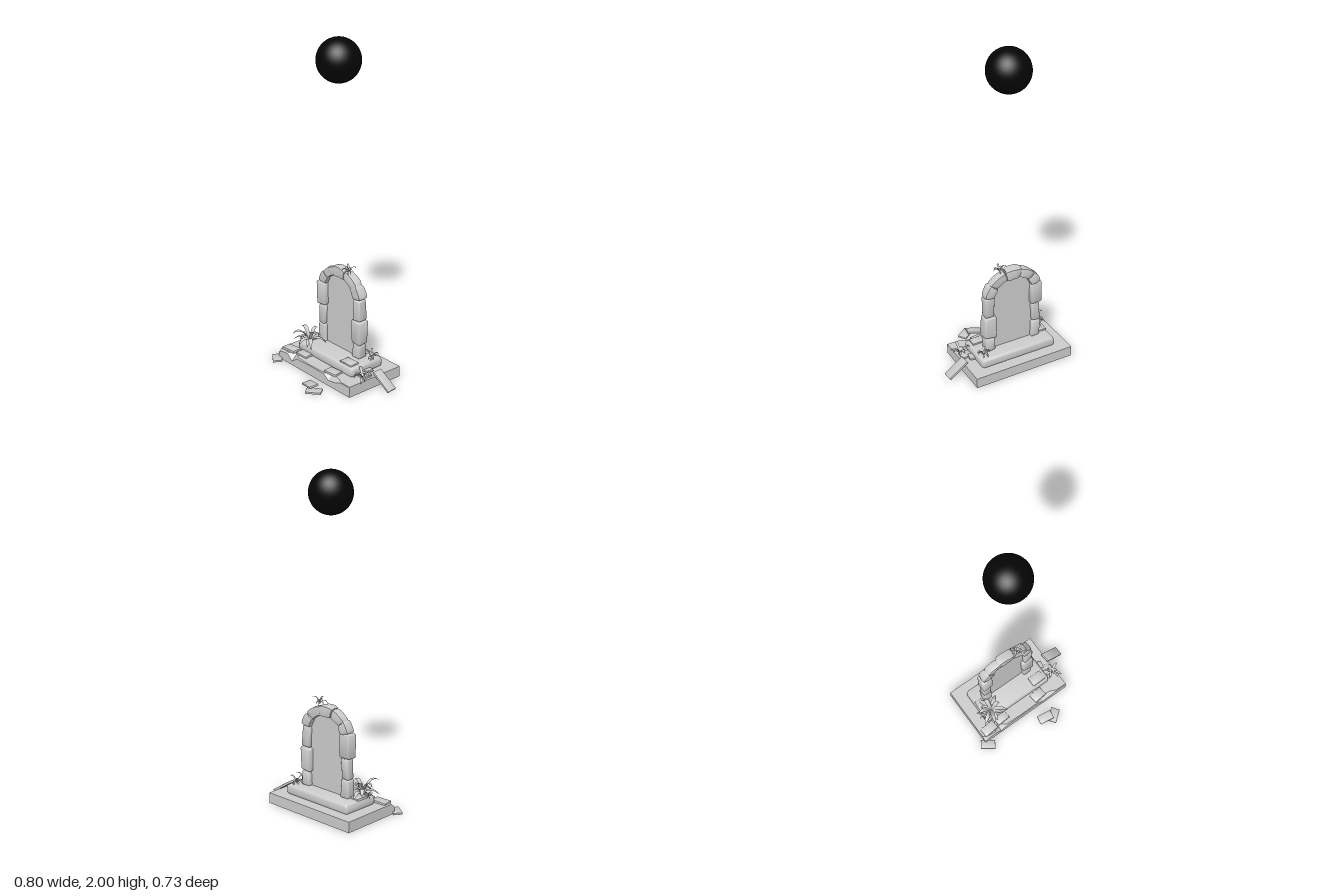
import * as THREE from 'three';
import { mergeVertices, mergeGeometries, toCreasedNormals } from 'three/addons/utils/BufferGeometryUtils.js';
import { RoundedBoxGeometry } from 'three/addons/geometries/RoundedBoxGeometry.js';

const stoneMat = new THREE.MeshStandardMaterial({ color: 0xcccccc });
const leafMat = new THREE.MeshStandardMaterial({ color: 0xcccccc, side: THREE.DoubleSide });
const orbMat = new THREE.MeshStandardMaterial({ color: 0x050505 });

function add(parent, name, geometry, material = stoneMat) {
  const mesh = new THREE.Mesh(geometry, material);
  mesh.name = name;
  parent.add(mesh);
  return mesh;
}

// Move every vertex by a rule, then rebuild the normals
function reshape(geometry, rule) {
  geometry.deleteAttribute('normal');
  geometry.deleteAttribute('uv');
  const g = mergeVertices(geometry, 1e-5);
  const p = g.attributes.position, v = new THREE.Vector3();
  for (let i = 0; i < p.count; i++) {
    rule(v.fromBufferAttribute(p, i));
    p.setXYZ(i, v.x, v.y, v.z);
  }
  g.computeVertexNormals();
  return toCreasedNormals(g, 0.7);
}

// Weathered wobble, different for each seed
function wobble(v, seed, amount) {
  const { x, y, z } = v;
  v.x += amount * Math.sin(31 * y + 23 * z + seed * 2.1);
  v.y += amount * Math.sin(27 * x - 33 * z + seed * 1.3);
  v.z += amount * Math.sin(29 * x + 37 * y + seed * 3.7);
}

function block(w, h, d, seed, radius = 0.011, amount = 0.003) {
  return reshape(new RoundedBoxGeometry(w, h, d, 2, radius), v => wobble(v, seed, amount));
}

// Base slab: cross-sections along x, with chips out of the front top edge
function baseGeometry() {
  const D = 0.199, H = 0.066;
  const stations = [[-0.327, 0.03], [-0.29, 0.012], [-0.24, 0.008], [-0.2, 0.045], [-0.15, 0.008],
    [-0.04, 0.004], [0.1, 0.006], [0.14, 0.035], [0.21, 0.022], [0.25, 0.004], [0.327, 0.003]];
  const pos = [], idx = [];
  for (const [x, c] of stations)
    for (const [y, z] of [[0, -D], [H, -D], [H, D - c], [H - c * 0.9, D], [0, D]]) pos.push(x, y, z);
  for (let s = 0; s < stations.length - 1; s++)
    for (let k = 0; k < 5; k++) {
      const a = s * 5 + k, b = s * 5 + (k + 1) % 5;
      idx.push(a, b, a + 5, b, b + 5, a + 5);
    }
  const e = (stations.length - 1) * 5;
  for (let k = 1; k < 4; k++) idx.push(0, k + 1, k, e, e + k, e + k + 1);
  const g = new THREE.BufferGeometry();
  g.setAttribute('position', new THREE.Float32BufferAttribute(pos, 3));
  g.setIndex(idx);
  return toCreasedNormals(g, 0.2);
}

// Pointed leaf, folded along its middle and arching outwards
function leaf(length, width, lift, droop) {
  const g = new THREE.PlaneGeometry(1, 1, 2, 7);
  const p = g.attributes.position;
  for (let i = 0; i < p.count; i++) {
    const side = p.getX(i) * 2, t = p.getY(i) + 0.5;
    const w = width * Math.pow(Math.sin(Math.PI * (0.08 + 0.92 * t)), 0.8) || 0;
    p.setXYZ(i, side * w / 2, lift * t - droop * t * t + Math.abs(side) * w * 0.25, length * t);
  }
  g.computeVertexNormals();
  return g;
}

function plant(parent, name, x, y, z, radius, count, height) {
  const leaves = [];
  for (let i = 0; i < count; i++) {
    const r = radius * (0.78 + 0.22 * Math.sin(i * 2.4 + x * 40));
    const rise = height * (1.7 + 1.1 * (i % 3));
    const g = leaf(r, radius * 0.24, rise, rise * (i % 3 === 2 ? 0.7 : 1.05));
    leaves.push(g.rotateY(i / count * Math.PI * 2 + 0.25 * Math.sin(i * 5.1)));
  }
  add(parent, name, mergeGeometries(leaves), leafMat).position.set(x, y, z);
}

export function createModel() {
  const model = new THREE.Group();
  model.name = 'ruinedGateway';

  // Floating dark orb
  add(model, 'orb', new THREE.SphereGeometry(0.128, 40, 24), orbMat).position.set(0.022, 1.872, 0);

  // Gateway, turned on its foundation
  const gate = new THREE.Group();
  gate.name = 'gateway';
  gate.position.x = 0.022;
  gate.rotation.y = -40 * Math.PI / 180;
  model.add(gate);
  add(gate, 'base', baseGeometry());
  add(gate, 'step', block(0.5, 0.064, 0.245, 2, 0.02, 0.002)).position.set(0, 0.091, -0.01);

  const archZ = -0.028, half = 0.157, spring = 0.478, rise = 0.137;

  // Pillars: stacked blocks as [bottom, top, width, depth]
  const pillars = {
    left: [[0.12, 0.212, 0.06, 0.066], [0.212, 0.358, 0.078, 0.072], [0.358, 0.49, 0.06, 0.06]],
    right: [[0.12, 0.235, 0.06, 0.058], [0.235, 0.362, 0.054, 0.054], [0.362, 0.51, 0.074, 0.07]],
  };
  for (const [side, blocks] of Object.entries(pillars))
    blocks.forEach(([y0, y1, w, d], i) => {
      const m = add(gate, side + 'PillarBlock', block(w, y1 - y0, d, i + (side === 'left' ? 3 : 8)));
      m.position.set(side === 'left' ? half : -half, (y0 + y1) / 2, archZ);
    });

  // Arch stones: boxes bent around the opening
  const cuts = [0.04, 0.2, 0.41, 0.6, 0.79, 0.93];
  for (let i = 0; i < 5; i++) {
    const big = i % 2 ? 0.06 : 0.07;
    const box = new THREE.BoxGeometry(big, 1, big, 2, 8, 2);
    const g = reshape(box, v => {
      const end = 1 - 0.12 * Math.pow(Math.abs(v.y * 2), 6);
      const a = Math.PI * THREE.MathUtils.lerp(cuts[i], cuts[i + 1], v.y + 0.5);
      const edge = Math.abs(v.x) > 0.02 && Math.abs(v.z) > 0.02 ? 0.86 : 1;
      const off = v.x * end * edge;
      v.set(Math.cos(a) * (half + off), spring + Math.sin(a) * (rise + off), archZ + v.z * end * edge);
      wobble(v, i, 0.0025);
    });
    add(gate, 'archStone', g);
  }

  // Panel closing the opening
  const opening = new THREE.Shape();
  opening.moveTo(-0.145, 0.118);
  opening.lineTo(0.145, 0.118);
  opening.lineTo(0.145, spring);
  opening.absellipse(0, spring, 0.145, 0.125, 0, Math.PI);
  opening.closePath();
  const panel = new THREE.ExtrudeGeometry(opening, { depth: 0.012, bevelEnabled: false, curveSegments: 20 });
  add(gate, 'doorPanel', panel).position.z = archZ - 0.006;

  // Loose slabs: [x, y, z, length, thickness, width, heading, tilt, roll]
  const slabs = [
    [-0.364, 0.007, -0.038, 0.094, 0.012, 0.058, 1.28, 0, 0],
    [-0.067, 0.007, 0.332, 0.093, 0.012, 0.058, 0.06, 0, 0],
    [-0.097, 0.023, 0.284, 0.098, 0.012, 0.058, 0.86, 0.2, 0.1],
    [0.328, 0.05, 0.221, 0.146, 0.014, 0.064, 0.64, -0.58, 0],
    [0.115, 0.124, 0.168, 0.094, 0.014, 0.062, 0.7, 0, 0.03],
    [0.025, 0.07, 0.2, 0.09, 0.014, 0.062, 0.58, 0, 0],
    [0.2, 0.07, 0.205, 0.09, 0.014, 0.06, 0.7, 0, 0],
    [0.225, 0.08, 0.165, 0.05, 0.014, 0.035, -0.7, 0, 0],
    [-0.275, 0.071, -0.052, 0.1, 0.016, 0.062, 0.62, 0.04, 0],
    [-0.185, 0.071, 0.005, 0.09, 0.014, 0.06, 0.65, 0, 0],
    [-0.15, 0.124, -0.13, 0.09, 0.014, 0.06, -0.85, 0, 0],
  ];
  slabs.forEach(([x, y, z, l, t, w, heading, tilt, roll], i) => {
    const m = add(model, 'looseSlab', block(l, t, w, i, 0.002, 0.001));
    m.position.set(x, y, z);
    m.rotation.set(roll, -heading, tilt, 'YXZ');
  });

  // Plants growing among the stones
  plant(model, 'largePlant', -0.165, 0.124, -0.068, 0.115, 13, 0.055);
  plant(model, 'smallPlant', -0.2, 0.122, -0.112, 0.045, 8, 0.025);
  plant(model, 'sidePlant', 0.235, 0.122, 0.082, 0.052, 10, 0.03);
  plant(model, 'frontPlant', 0.205, 0.07, 0.252, 0.068, 9, 0.035);
  plant(model, 'archPlant', 0.09, 0.638, 0.035, 0.052, 9, 0.028);

  return model;
}
